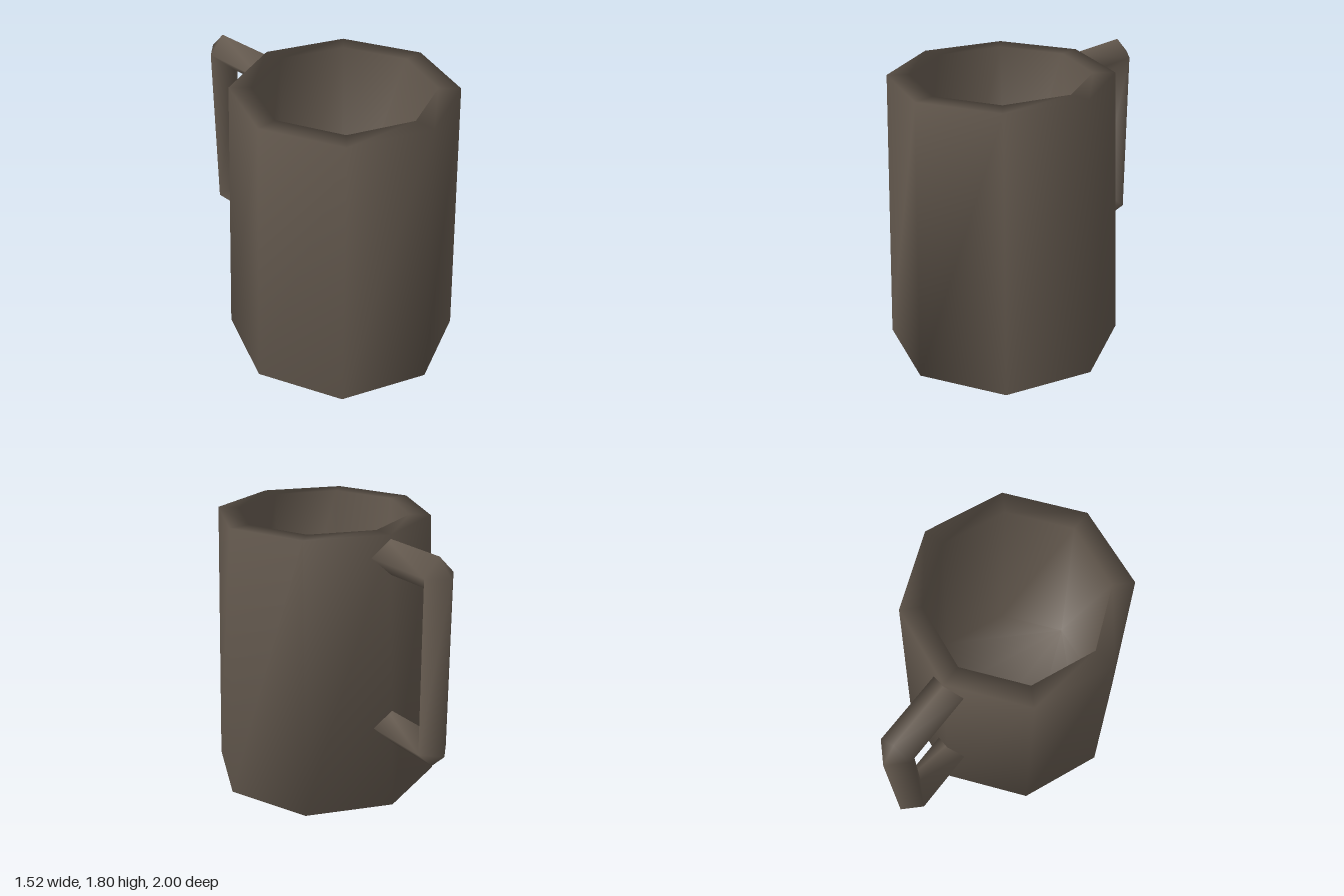
import * as THREE from 'three';
import { mergeVertices } from 'three/addons/utils/BufferGeometryUtils.js';

// Skins a list of rings (arrays of [x, y, z]) with smooth normals, optionally capping both ends.
function loft(rings, capped) {
  const n = rings[0].length;
  const last = (rings.length - 1) * n;
  const index = [];
  for (let i = 0; i < rings.length - 1; i++) {
    for (let j = 0; j < n; j++) {
      const k = (j + 1) % n;
      const a = i * n + j, b = i * n + k, c = b + n, d = a + n;
      index.push(a, b, c, a, c, d);
    }
  }
  if (capped) {
    for (let j = 1; j < n - 1; j++) {
      index.push(0, j + 1, j);
      index.push(last, last + j, last + j + 1);
    }
  }
  const geometry = new THREE.BufferGeometry();
  geometry.setAttribute('position', new THREE.Float32BufferAttribute(rings.flat(2), 3));
  geometry.setIndex(index);
  const merged = mergeVertices(geometry);
  merged.computeVertexNormals();
  return merged;
}

export function createModel() {
  const group = new THREE.Group();
  group.name = 'mug';
  const clay = new THREE.MeshStandardMaterial({ color: 0x665b50 });
  clay.name = 'brown clay';

  // Eight-sided tapered cup: outer base, outer rim, inner rim, inner floor
  const profile = [[0.76, 0], [0.69, 1.805], [0.555, 1.805], [0.61, 0.15]];
  const cupRings = profile.map(([r, y]) =>
    Array.from({ length: 8 }, (_, i) => {
      const a = (i / 8) * Math.PI * 2;
      return [Math.sin(a) * r, y, 0.24 + Math.cos(a) * r];
    }));
  const cup = new THREE.Mesh(loft(cupRings, true), clay);
  cup.name = 'cup';
  group.add(cup);

  // Diamond-section handle with chamfered outer corners
  const R = 0.11, top = 1.672, low = 0.562, back = -0.885;
  const ring = (y, z, outer, inner) => [
    [0, y + outer[0] * R, z + outer[1] * R], [R, y, z],
    [0, y + inner[0] * R, z + inner[1] * R], [-R, y, z],
  ];
  const up = [1, 0], down = [-1, 0], out = [0, -1];
  const handleRings = [
    ring(top, -0.39, up, down),
    ring(top, back, up, [-1, 1]),
    ring(top, back, out, [-1, 1]),
    ring(low, back, out, [1, 1]),
    ring(low, back, down, [1, 1]),
    ring(low, -0.42, down, up),
  ];
  const handle = new THREE.Mesh(loft(handleRings, false), clay);
  handle.name = 'handle';
  group.add(handle);

  return group;
}
